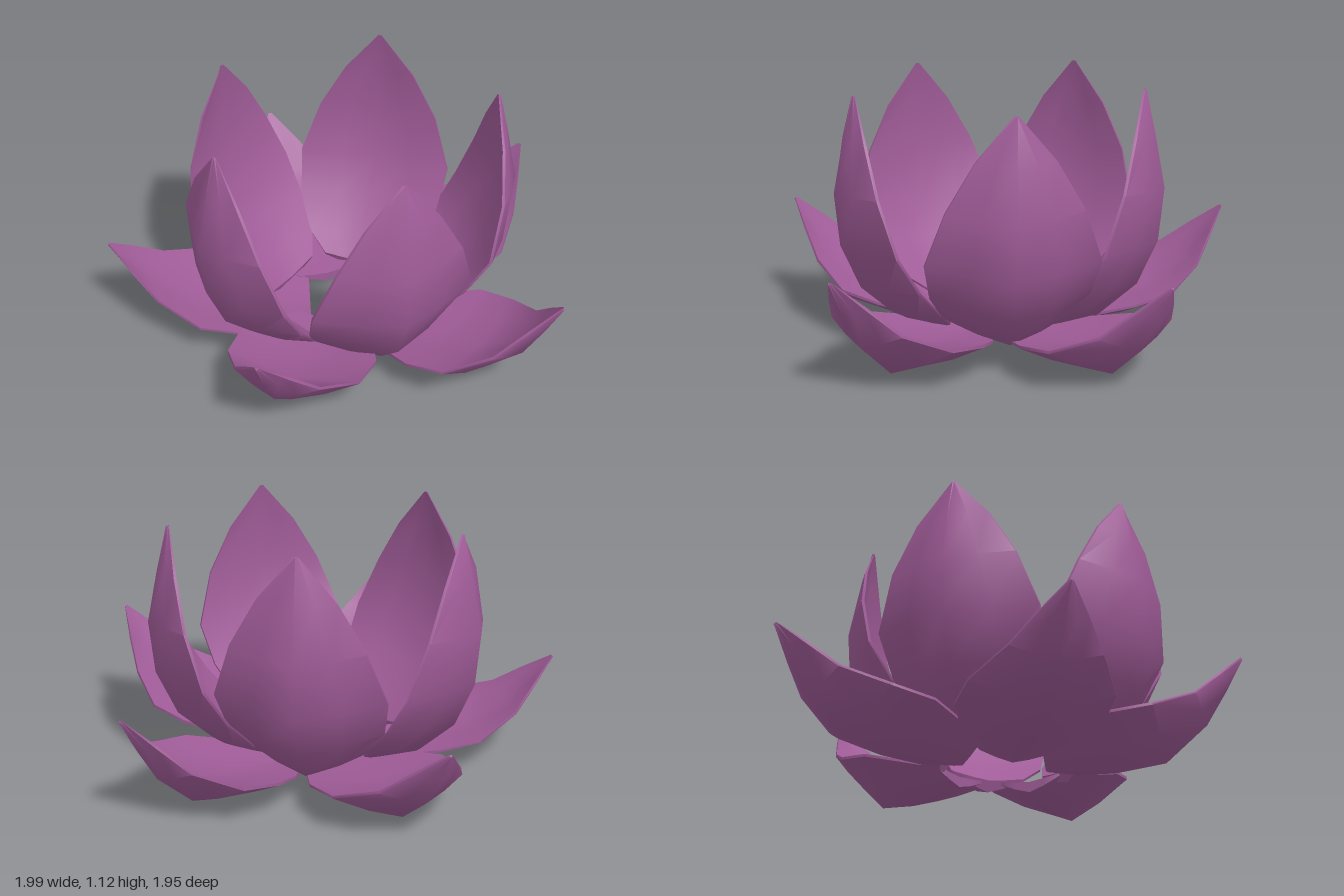
import * as THREE from 'three';
import { toCreasedNormals } from 'three/addons/utils/BufferGeometryUtils.js';

// Petal rows from base to tip: [keel radius, keel y, edge radius, edge y, half width]
const INNER = [
  [0.30, 0.05, 0.28, 0.11, 0.16],
  [0.46, 0.11, 0.36, 0.20, 0.27],
  [0.63, 0.27, 0.47, 0.33, 0.33],
  [0.715, 0.47, 0.57, 0.50, 0.355],
  [0.735, 0.70, 0.625, 0.73, 0.275],
  [0.69, 0.92, 0.64, 0.93, 0.16],
  [0.645, 1.11, 0.635, 1.112, 0.008],
];
const OUTER = [
  [0.00, 0.03, 0.00, 0.08, 0.14],
  [0.15, 0.005, 0.15, 0.11, 0.25],
  [0.32, 0.008, 0.31, 0.15, 0.31],
  [0.54, 0.04, 0.50, 0.18, 0.295],
  [0.73, 0.195, 0.69, 0.265, 0.185],
  [0.83, 0.345, 0.80, 0.375, 0.10],
  [0.91, 0.48, 0.903, 0.487, 0.008],
];

const ACROSS = [-1, -0.5, 0, 0.5, 1];

// Closed petal pointing along +x: ridged outside, shallow inside, thin rim
function petalGeometry(rows) {
  const pos = [], index = [], n = ACROSS.length * 2;
  rows.forEach(([kr, ky, er, ey, w], i) => {
    const depth = Math.hypot(er - kr, ey - ky);
    const dr = (er - kr) / depth, dy = (ey - ky) / depth;
    const rim = i === rows.length - 1 ? 0.002 : 0.012;
    const point = (u, fill, offset) => {
      const f = Math.abs(u) ** 1.25;
      const bend = depth * (f + (1 - f) * fill) + offset;
      pos.push(kr + dr * bend, ky + dy * bend, u * w);
    };
    ACROSS.forEach((u) => point(u, 0, 0));
    [...ACROSS].reverse().forEach((u) => point(u, 0.65, rim));
  });
  for (let i = 0; i < rows.length - 1; i++) {
    for (let j = 0; j < n; j++) {
      const a = i * n + j, b = i * n + (j + 1) % n;
      index.push(a, a + n, b, b, a + n, b + n);
    }
  }
  // Base and tip caps
  const last = (rows.length - 1) * n;
  for (let j = 0; j < n / 2 - 1; j++) {
    const a = j, b = j + 1, c = n - 2 - j, d = n - 1 - j;
    index.push(a, b, c, a, c, d);
    index.push(last + a, last + c, last + b, last + a, last + d, last + c);
  }
  const g = new THREE.BufferGeometry();
  g.setAttribute('position', new THREE.Float32BufferAttribute(pos, 3));
  g.setIndex(index);
  return toCreasedNormals(g, 1);
}

export function createModel() {
  const flower = new THREE.Group();
  flower.name = 'lotusFlower';
  const material = new THREE.MeshStandardMaterial({ color: 0xa05c98, side: THREE.DoubleSide });

  // petals: [angle in degrees from +x towards +z, start radius, length scale, height scale]
  const addRing = (name, rows, x, z, petals) => {
    const ring = new THREE.Group();
    ring.name = name + 's';
    ring.position.set(x, 0, z);
    const geometry = petalGeometry(rows);
    petals.forEach(([degrees, start, length, height], i) => {
      const angle = THREE.MathUtils.degToRad(degrees);
      const petal = new THREE.Mesh(geometry, material);
      petal.name = name + (i + 1);
      petal.position.set(start * Math.cos(angle), 0, start * Math.sin(angle));
      petal.rotation.y = -angle;
      petal.scale.set(length, height, 1);
      ring.add(petal);
    });
    flower.add(ring);
  };

  // Upright inner petals
  addRing('innerPetal', INNER, 0.03, -0.01, [
    [-82.5, 0, 0.99, 1.01], [-15.5, 0, 1.035, 1], [60.5, 0, 0.985, 0.99], [135, 0, 1, 0.99], [205, 0, 0.99, 1],
  ]);
  // Low spreading outer petals
  addRing('outerPetal', OUTER, 0.026, -0.036, [
    [27.7, 0.27, 0.905, 1.08], [101, 0.18, 0.935, 1.03], [169, 0.15, 0.983, 0.86],
    [241.8, 0.2, 0.956, 0.96], [315, 0.26, 0.9, 1.04],
  ]);
  return flower;
}
